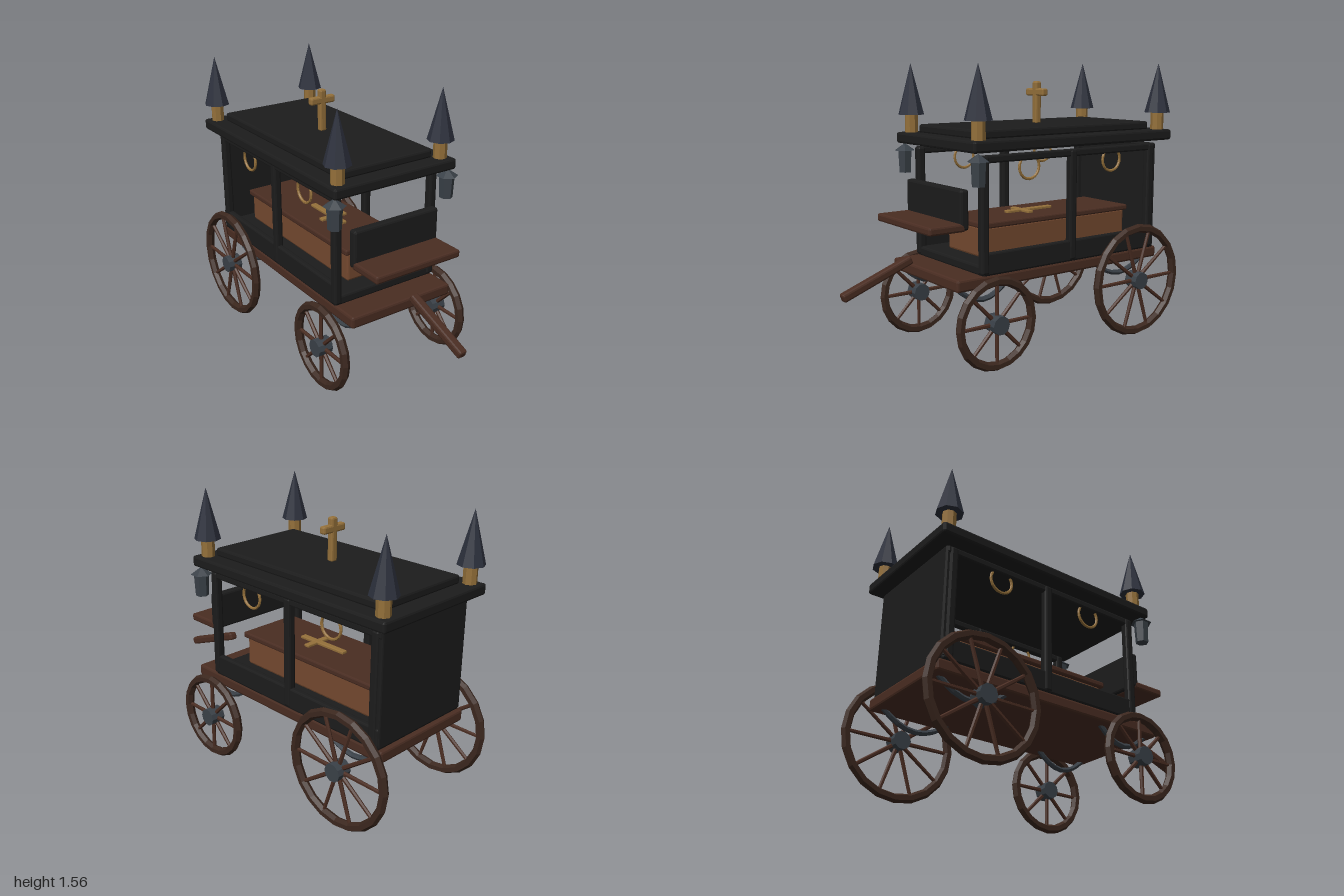
import * as THREE from 'three';
import { RoundedBoxGeometry } from 'three/addons/geometries/RoundedBoxGeometry.js';

const paint = (color, extra = {}) => new THREE.MeshStandardMaterial({ color, flatShading: true, ...extra });

export function createModel() {
  const root = new THREE.Group();
  const black = paint(0x1c1c1c), wood = paint(0x4a2d22), coffinWood = paint(0x74492f);
  const darkWood = paint(0x3b271e), gold = paint(0x94703a), slate = paint(0x2c303c), iron = paint(0x3a4148);

  const add = (name, geometry, material, x = 0, y = 0, z = 0, parent = root) => {
    const mesh = new THREE.Mesh(geometry, material);
    mesh.name = name;
    mesh.position.set(x, y, z);
    parent.add(mesh);
    return mesh;
  };
  // Chamfered box given by its extents on each axis
  const block = (name, material, [x0, x1], [y0, y1], [z0, z1], parent = root) => {
    const w = x1 - x0, h = y1 - y0, d = z1 - z0;
    const bevel = Math.min(0.012, Math.min(w, h, d) * 0.25);
    return add(name, new RoundedBoxGeometry(w, h, d, 1, bevel), material,
      (x0 + x1) / 2, (y0 + y1) / 2, (z0 + z1) / 2, parent);
  };

  // Chassis, floor and back wall
  block('chassis', wood, [-0.325, 0.325], [0.43, 0.495], [-0.89, 0.52]);
  block('floor', black, [-0.325, 0.325], [0.49, 0.545], [-0.865, 0.365]);
  block('backWall', black, [-0.32, 0.32], [0.5, 1.11], [-0.87, -0.835]);

  // Roof in two tiers
  block('roofEave', black, [-0.385, 0.385], [1.13, 1.19], [-0.93, 0.455]);
  block('roofTop', black, [-0.29, 0.29], [1.185, 1.235], [-0.835, 0.365]);

  // Coffin with lid and a flat cross
  block('coffin', coffinWood, [-0.17, 0.17], [0.543, 0.71], [-0.77, 0.255]);
  block('coffinLid', wood, [-0.19, 0.19], [0.705, 0.738], [-0.78, 0.27]);
  block('lidCrossBar', gold, [-0.018, 0.018], [0.734, 0.752], [-0.34, -0.02]);
  block('lidCrossArm', gold, [-0.085, 0.085], [0.734, 0.751], [-0.15, -0.115]);

  // Driver's bench
  block('seat', wood, [-0.27, 0.27], [0.725, 0.768], [0.43, 0.645]);
  block('seatBack', black, [-0.27, 0.27], [0.73, 0.94], [0.41, 0.46]);

  // Draw pole sloping down to the front
  const pole = add('drawPole', new RoundedBoxGeometry(0.05, 0.045, 0.42, 1, 0.011), wood, 0, 0.485, 0.795);
  pole.rotation.x = 0.36;

  // Roof cross
  block('roofCrossPost', gold, [-0.02, 0.02], [1.23, 1.467], [-0.255, -0.217]);
  block('roofCrossArm', gold, [-0.078, 0.078], [1.386, 1.428], [-0.255, -0.217]);

  // Spoked wheel turning about the x axis
  const makeWheel = (name, radius, spokes, x, z) => {
    const wheel = new THREE.Group();
    wheel.name = name;
    wheel.position.set(x, radius + 0.007, z);
    const tube = 0.025;
    const rim = add('rim', new THREE.TorusGeometry(radius - tube, tube, 6, 20), darkWood, 0, 0, 0, wheel);
    rim.rotation.y = Math.PI / 2;
    const hub = add('hub', new THREE.CylinderGeometry(0.05, 0.05, 0.085, 10), iron, 0, 0, 0, wheel);
    hub.rotation.z = Math.PI / 2;
    const length = radius - 0.06;
    for (let i = 0; i < spokes; i++) {
      const a = (i / spokes) * Math.PI * 2;
      const r = 0.03 + length / 2;
      const spoke = add('spoke', new THREE.CylinderGeometry(0.01, 0.012, length, 6), wood,
        0, Math.sin(a) * r, Math.cos(a) * r, wheel);
      spoke.rotation.x = Math.PI / 2 - a;
    }
    root.add(wheel);
  };

  // Bowed spring hanging under the chassis
  const makeSpring = (name, x, z, half) => {
    const curve = new THREE.QuadraticBezierCurve3(
      new THREE.Vector3(x, 0.44, z - half), new THREE.Vector3(x, 0.27, z), new THREE.Vector3(x, 0.44, z + half));
    add(name, new THREE.TubeGeometry(curve, 8, 0.015, 6), iron);
  };

  const capBase = 1.09;
  for (const s of [1, -1]) {
    const side = s > 0 ? 'left' : 'right';
    const xs = (a, b) => (s > 0 ? [a, b] : [-b, -a]);

    // Side frame: sill, top rail and posts
    block(side + 'Sill', black, xs(0.29, 0.325), [0.505, 0.61], [-0.865, 0.37]);
    block(side + 'TopRail', black, xs(0.29, 0.325), [1.07, 1.11], [-0.865, 0.37]);
    for (const [name, z0, z1] of [['FrontPost', 0.325, 0.372], ['MiddlePost', -0.26, -0.213], ['BackPost', -0.85, -0.803]])
      block(side + name, black, xs(0.285, 0.33), [0.5, 1.108], [z0, z1]);

    // Open rings hanging from the top rail
    for (const z of [0.055, -0.53]) {
      const arc = Math.PI + 1.2;
      const geometry = new THREE.TorusGeometry(0.065, 0.008, 6, 14, arc);
      geometry.rotateZ(-Math.PI / 2 - arc / 2);
      add(side + 'HangingRing', geometry, gold, s * 0.305, 1.035, z).rotation.y = Math.PI / 2;
    }

    // Carriage lamp
    add(side + 'Lamp', new THREE.CylinderGeometry(0.042, 0.036, 0.125, 6), iron, s * 0.36, capBase - 0.0625, 0.415);
    add(side + 'LampCap', new THREE.ConeGeometry(0.06, 0.04, 6), iron, s * 0.36, capBase + 0.018, 0.415);

    // Corner finials
    for (const z of [0.39, -0.87]) {
      add(side + 'FinialBase', new THREE.CylinderGeometry(0.037, 0.037, 0.105, 8), gold, s * 0.325, 1.2375, z);
      add(side + 'FinialSpire', new THREE.ConeGeometry(0.073, 0.28, 8), slate, s * 0.325, 1.427, z);
    }

    makeWheel(side + 'FrontWheel', 0.249, 8, s * 0.39, 0.325);
    makeWheel(side + 'BackWheel', 0.327, 10, s * 0.39, -0.67);
    makeSpring(side + 'FrontSpring', s * 0.26, 0.325, 0.16);
    makeSpring(side + 'BackSpring', s * 0.26, -0.65, 0.19);
  }

  return root;
}
